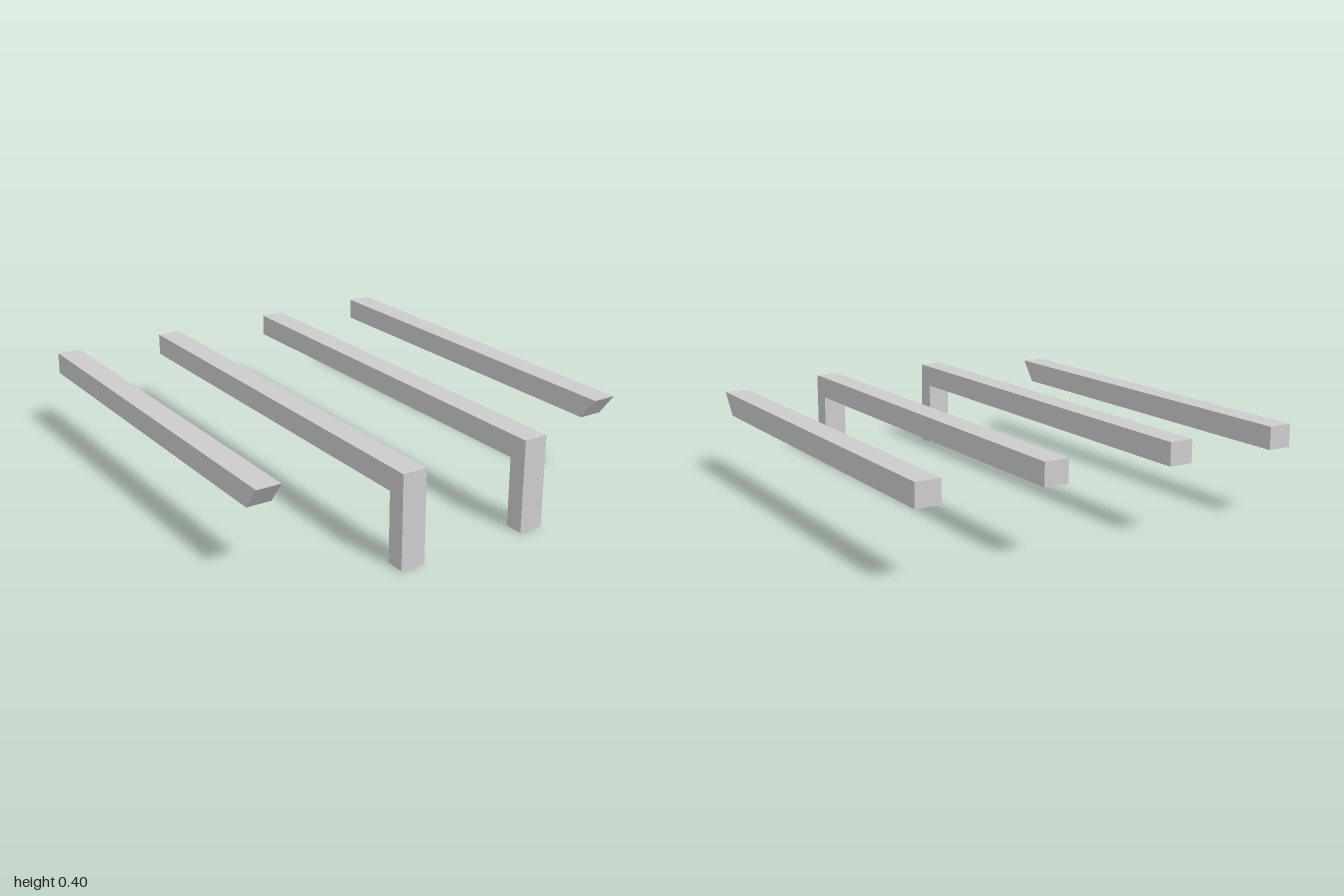
import * as THREE from 'three';

const WIDTH = 0.106, TOP = 0.395, UNDER = 0.298, BACK = -1;

// side profiles as [z, y] corners
const bentProfile = [[BACK, UNDER], [0.918, UNDER], [0.918, 0], [1, 0], [1, TOP], [BACK, TOP]];
const slantedProfile = [[BACK, UNDER], [0.752, UNDER], [0.828, TOP], [BACK, TOP]];

const material = new THREE.MeshStandardMaterial({ color: 0xcccccc, flatShading: true });

function beam(name, profile, x) {
  const shape = new THREE.Shape(profile.map(([z, y]) => new THREE.Vector2(z, y)));
  const geometry = new THREE.ExtrudeGeometry(shape, { depth: WIDTH, bevelEnabled: false });
  geometry.translate(0, 0, -WIDTH / 2);
  geometry.rotateY(-Math.PI / 2); // profile runs along z, thickness along x
  const mesh = new THREE.Mesh(geometry, material);
  mesh.name = name;
  mesh.position.x = x;
  return mesh;
}

export function createModel() {
  const group = new THREE.Group();
  group.name = 'beams';

  // outer beams with a slanted front end
  group.add(beam('rightOuterBeam', slantedProfile, -0.816));
  group.add(beam('leftOuterBeam', slantedProfile, 0.816));

  // inner beams with a front leg
  group.add(beam('rightInnerBeamWithLeg', bentProfile, -0.3));
  group.add(beam('leftInnerBeamWithLeg', bentProfile, 0.283));

  return group;
}
